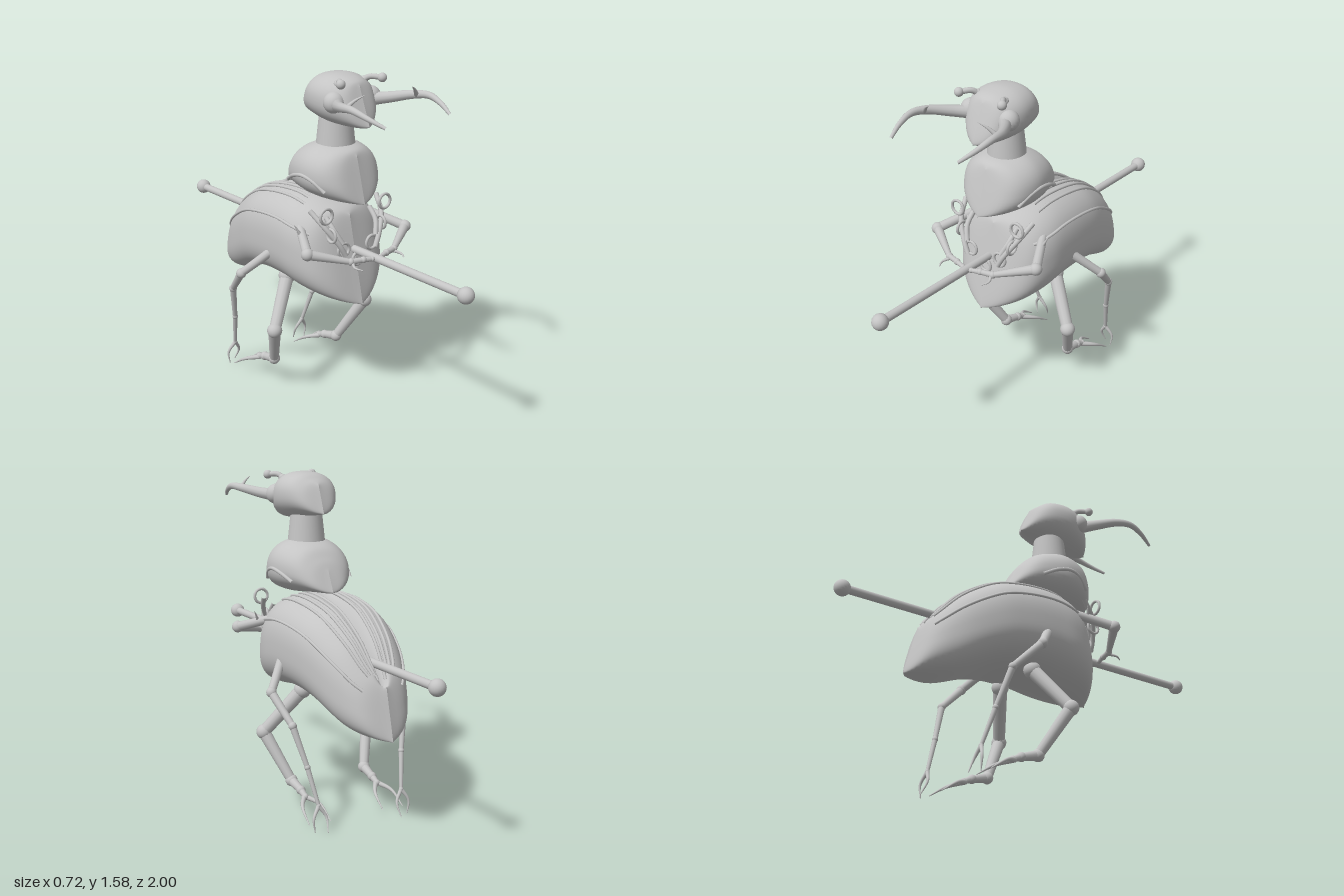
import * as THREE from 'three';

const grey = new THREE.MeshStandardMaterial({ color: 0xc4c4c4 });
grey.name = 'shell grey';
const V = (p) => new THREE.Vector3(...p);

function add(parent, name, geometry) {
  const mesh = new THREE.Mesh(geometry, grey);
  mesh.name = name;
  parent.add(mesh);
  return mesh;
}

// Skin through stations [z, halfWidth, top, bottom, shear], sheared about height pivot; returns a point function
function skin(stations, pivot, power, mid, groove = 0) {
  const a = new THREE.CatmullRomCurve3(stations.map((s) => V([s[0], s[1], s[2]])), false, 'catmullrom', 0.5);
  const b = new THREE.CatmullRomCurve3(stations.map((s) => V([s[3], s[4], 0])), false, 'catmullrom', 0.5);
  return (u, angle, lift = 0) => {
    const p = a.getPoint(u), q = b.getPoint(u);
    const s = Math.sin(angle), c = Math.cos(angle), e = 2 / power;
    const yc = q.x + mid * (p.z - q.x);
    const x = Math.sign(s) * Math.abs(s) ** e * (Math.max(0, p.y) + lift);
    let y = yc + Math.sign(c) * Math.abs(c) ** e * ((c > 0 ? p.z - yc : yc - q.x) + lift);
    // seam between the two wing cases
    if (c > 0) y -= groove * Math.exp(-((x / 0.025) ** 2)) * Math.min(1, Math.max(0, (0.6 - u) * 6)) * Math.min(1, u * 10);
    return V([x, y, p.x + q.y * (pivot - y)]);
  };
}

function skinGeometry(f, rows = 48, cols = 96) {
  const pos = [], idx = [];
  for (let i = 0; i <= rows; i++)
    for (let j = 0; j < cols; j++) pos.push(...f(i / rows, (j / cols) * Math.PI * 2).toArray());
  for (let i = 0; i < rows; i++)
    for (let j = 0; j < cols; j++) {
      const k = (j + 1) % cols, p = i * cols, q = p + cols;
      idx.push(p + j, q + j, p + k, p + k, q + j, q + k);
    }
  const g = new THREE.BufferGeometry();
  g.setAttribute('position', new THREE.Float32BufferAttribute(pos, 3));
  g.setIndex(idx);
  g.computeVertexNormals();
  return g;
}

// Tube that narrows from r0 to r1
function taper(parent, name, points, r0, r1, n = 16) {
  const curve = new THREE.CatmullRomCurve3(points.map(V));
  const g = new THREE.TubeGeometry(curve, n, 1, 12);
  const pos = g.attributes.position, v = new THREE.Vector3();
  for (let i = 0; i < pos.count; i++) {
    const t = Math.floor(i / 13) / n, c = curve.getPointAt(t);
    v.fromBufferAttribute(pos, i).sub(c).multiplyScalar(r0 + (r1 - r0) * t).add(c);
    pos.setXYZ(i, v.x, v.y, v.z);
  }
  add(parent, name, g);
}

function ball(parent, name, p, r) {
  add(parent, name, new THREE.SphereGeometry(r, 20, 14).translate(...p));
}

function ring(parent, name, p, r, turn = 0) {
  add(parent, name, new THREE.TorusGeometry(r, 0.007, 10, 32).rotateY(turn).translate(...p));
}

// Jointed limb: list of [x, y, z, radius] with a ball at each joint
function limb(parent, name, joints) {
  const g = new THREE.Group();
  g.name = name;
  parent.add(g);
  joints.forEach((a, i) => {
    ball(g, name + 'Joint', a.slice(0, 3), a[3] * 1.2);
    const b = joints[i + 1];
    if (b) taper(g, name + 'Segment', [a.slice(0, 3), b.slice(0, 3)], a[3], b[3] * 0.95, 2);
  });
}

// Mirror every mesh of a half and turn its faces the right way round
function mirror(half) {
  half.traverse((m) => {
    if (!m.isMesh) return;
    m.geometry.scale(-1, 1, 1);
    const idx = m.geometry.index;
    for (let i = 0; i < idx.count; i += 3) {
      const a = idx.getX(i);
      idx.setX(i, idx.getX(i + 1));
      idx.setX(i + 1, a);
    }
  });
}

export function createModel() {
  const model = new THREE.Group();
  model.name = 'beetle';

  // Body with wing cases
  const body = skin([
    [-0.59, 0, 0.70, 0.465, -0.26], [-0.55, 0.115, 0.765, 0.468, -0.22], [-0.45, 0.185, 0.88, 0.48, -0.1],
    [-0.29, 0.23, 0.972, 0.55, 0], [-0.15, 0.248, 1.012, 0.577, 0], [0, 0.255, 1.025, 0.578, 0],
    [0.12, 0.25, 1.01, 0.56, 0.05], [0.22, 0.215, 0.985, 0.545, 0.15], [0.275, 0.135, 0.965, 0.533, 0.22],
    [0.3, 0, 0.94, 0.527, 0.24]], 0.7, 2.6, 0.45, 0.07);
  add(model, 'body', skinGeometry(body));

  // Raised ribs along the wing cases, the lowest one longer
  for (const side of [-1, 1])
    for (const [angle, end] of [[0.11, 0.6], [0.21, 0.62], [0.34, 0.64], [0.52, 0.66], [1.1, 0.78]]) {
      const path = [];
      for (let i = 0; i <= 14; i++) path.push(body(0.1 + (end - 0.1) * (i / 14), side * angle, 0.002).toArray());
      taper(model, 'wingRib', path, 0.007, 0.007, 40);
    }

  // Thorax, neck and head
  const thorax = skin([
    [-0.085, 0, 1.13, 1.04, -0.5], [-0.07, 0.09, 1.185, 1.035, -0.4], [-0.01, 0.15, 1.24, 1.03, -0.15],
    [0.12, 0.187, 1.275, 1.015, 0], [0.23, 0.17, 1.265, 1.013, 0.1], [0.295, 0.11, 1.25, 1.014, 0.25],
    [0.315, 0, 1.225, 1.012, 0.28]], 1.12, 2.25, 0.45);
  add(model, 'thorax', skinGeometry(thorax, 32, 48));

  add(model, 'neck', new THREE.CylinderGeometry(0.075, 0.092, 0.16, 32).translate(0, 1.315, 0.14));

  const head = skin([
    [-0.005, 0, 1.525, 1.395, -0.4], [0.02, 0.08, 1.548, 1.39, -0.35], [0.08, 0.125, 1.575, 1.38, -0.1],
    [0.17, 0.142, 1.585, 1.365, 0], [0.25, 0.125, 1.575, 1.36, 0.1], [0.305, 0.08, 1.56, 1.362, 0.3],
    [0.325, 0, 1.54, 1.37, 0.4]], 1.47, 2.25, 0.5);
  add(model, 'head', skinGeometry(head, 32, 48));

  // Rod with end knobs
  add(model, 'rod', new THREE.CylinderGeometry(0.019, 0.019, 1.92, 20).rotateX(Math.PI / 2).translate(0, 0.783, 0));
  for (const s of [-1, 1]) ball(model, 'rodKnob', [0, 0.783, s * 0.963], 0.037);
  ring(model, 'middleRing', [0, 0.745, 0.3], 0.03);

  // Paired parts
  for (const side of [1, -1]) {
    const half = new THREE.Group();
    half.name = side > 0 ? 'leftParts' : 'rightParts';
    model.add(half);

    // Face
    ball(half, 'eye', [0.105, 1.475, 0.25], 0.048);
    taper(half, 'mandible', [[0.09, 1.465, 0.26], [0.15, 1.478, 0.33], [0.205, 1.497, 0.42],
      [0.222, 1.503, 0.5], [0.212, 1.482, 0.58], [0.185, 1.452, 0.66]], 0.03, 0.007, 30);
    taper(half, 'mandibleThorn', [[0.205, 1.497, 0.44], [0.17, 1.53, 0.46], [0.135, 1.55, 0.48]], 0.012, 0.001, 6);
    taper(half, 'antenna', [[0.06, 1.52, 0.22], [0.085, 1.565, 0.26], [0.12, 1.565, 0.31]], 0.014, 0.012);
    ball(half, 'antennaTip', [0.12, 1.565, 0.31], 0.021);
    ball(half, 'antennaBase', [0.075, 1.55, 0.24], 0.019);

    // Thorax side ridge
    taper(half, 'thoraxRidge', [[0.155, 1.075, 0.25], [0.178, 1.12, 0.19], [0.186, 1.135, 0.13],
      [0.178, 1.12, 0.06], [0.155, 1.085, -0.01]], 0.009, 0.009, 24);

    // Rings and curved straps on the chest
    ring(half, 'upperRing', [0.175, 0.98, 0.285], 0.034);
    ring(half, 'sideRing', [0.15, 0.885, 0.29], 0.03, Math.PI / 2);
    ring(half, 'lowerRing', [0.085, 0.805, 0.3], 0.032);
    taper(half, 'chestStrap', [[0.2, 0.99, 0.2], [0.17, 0.92, 0.27], [0.12, 0.84, 0.31], [0.09, 0.785, 0.32]], 0.012, 0.012);
    taper(half, 'chestStrap', [[0.13, 0.95, 0.23], [0.125, 0.9, 0.28], [0.1, 0.84, 0.31]], 0.012, 0.012);

    // Front leg holding the rod
    limb(half, 'frontLeg', [[0.19, 0.9, 0.11, 0.02], [0.295, 0.835, 0.3, 0.024],
      [0.13, 0.79, 0.4, 0.014], [0.07, 0.79, 0.415, 0.013], [0.025, 0.785, 0.425, 0.01]]);
    taper(half, 'frontClaw', [[0.12, 0.785, 0.4], [0.14, 0.775, 0.44], [0.125, 0.77, 0.475]], 0.009, 0.002);
    taper(half, 'elbowSpike', [[0.23, 0.86, 0.19], [0.265, 0.93, 0.17]], 0.012, 0.001, 3);

    // Middle leg
    limb(half, 'middleLeg', [[0.13, 0.58, -0.06, 0.034], [0.285, 0.37, 0.04, 0.03],
      [0.2, 0.15, -0.08, 0.024], [0.195, 0.128, -0.165, 0.018], [0.195, 0.11, -0.21, 0.013]]);
    for (const s of [-1, 1])
      taper(half, 'middleClaw', [[0.195, 0.11, -0.2], [0.195 + s * 0.045, 0.085, -0.27],
        [0.195 + s * 0.055, 0.03, -0.355]], 0.013, 0.002);

    // Hind leg
    limb(half, 'hindLeg', [[0.225, 0.74, -0.04, 0.022], [0.335, 0.615, -0.15, 0.02],
      [0.295, 0.485, -0.28, 0.016], [0.25, 0.3, -0.335, 0.012], [0.22, 0.13, -0.385, 0.009]]);
    for (const s of [-1, 1])
      taper(half, 'hindClaw', [[0.22, 0.13, -0.385], [0.22 + s * 0.032, 0.075, -0.4],
        [0.22 + s * 0.025, 0.01, -0.415 + s * 0.015]], 0.01, 0.002);

    if (side < 0) mirror(half);
  }
  return model;
}
